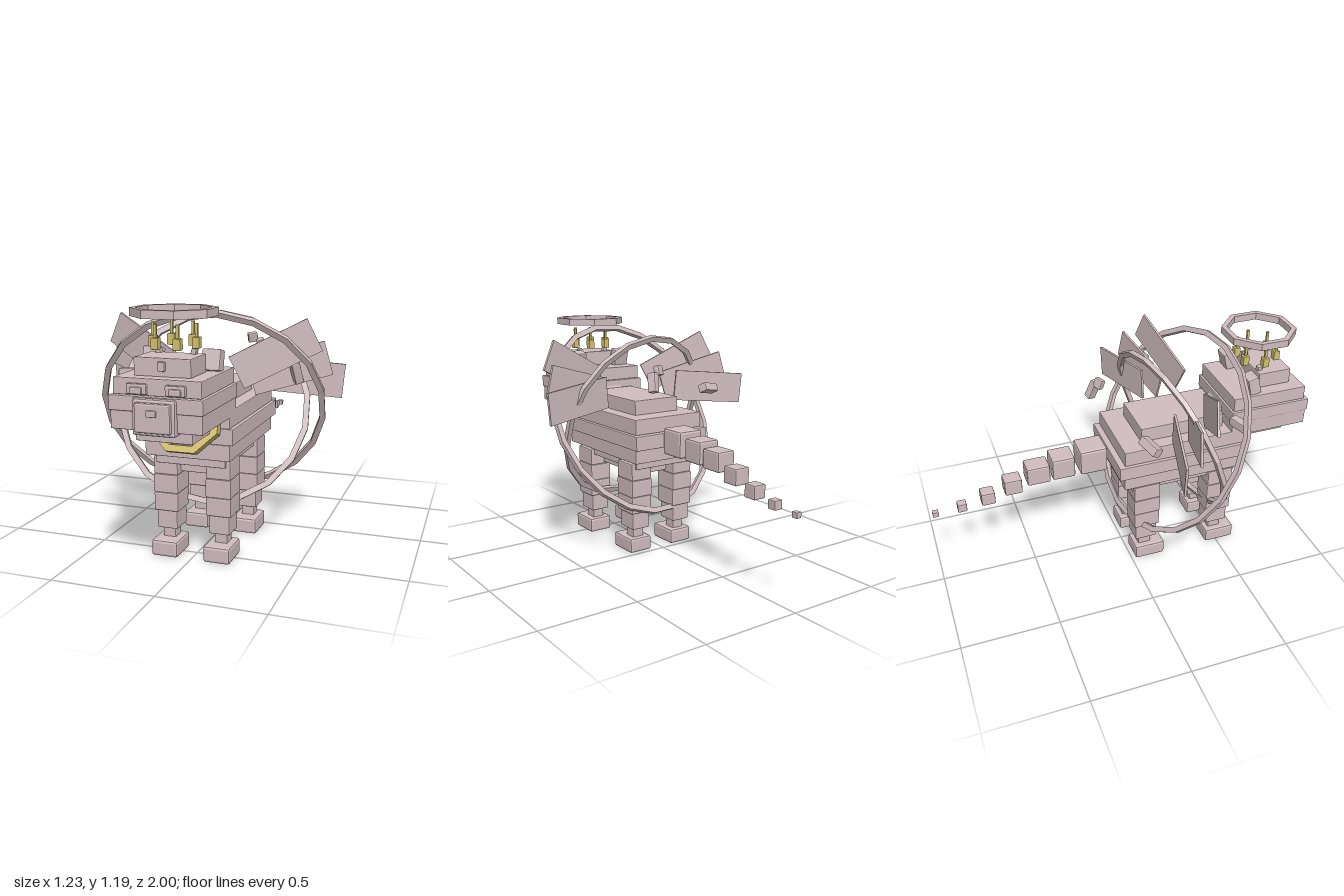
import * as THREE from 'three';
import { RoundedBoxGeometry } from 'three/addons/geometries/RoundedBoxGeometry.js';

const skin = new THREE.MeshStandardMaterial({ name: 'dusty pink', color: 0xd0bdc1, flatShading: true });
const gold = new THREE.MeshStandardMaterial({ name: 'pale gold', color: 0xd4c26c, flatShading: true });

export function createModel() {
  const model = new THREE.Group();

  const add = (name, geometry, x, y, z, material = skin) => {
    const mesh = new THREE.Mesh(geometry, material);
    mesh.name = name;
    mesh.position.set(x, y, z);
    model.add(mesh);
    return mesh;
  };
  // box with chamfered edges, placed by its centre
  const block = (name, w, h, d, x, y, z, material = skin, bevel = 0.006) =>
    add(name, new RoundedBoxGeometry(w, h, d, 1, bevel), x, y, z, material);
  // box centred on x = 0, given by its y and z ranges
  const slab = (name, w, y0, y1, z0, z1, bevel = 0.004) =>
    block(name, w, y1 - y0, z1 - z0, 0, (y0 + y1) / 2, (z0 + z1) / 2, skin, bevel);
  // faceted hoop around the z axis
  const hoop = (sides, outer, inner, depth) => {
    const points = (r) => Array.from({ length: sides }, (_, i) => {
      const a = ((i + 0.5) / sides) * Math.PI * 2;
      return new THREE.Vector2(r * Math.cos(a), r * Math.sin(a));
    });
    const shape = new THREE.Shape(points(outer));
    shape.holes.push(new THREE.Path(points(inner)));
    return new THREE.ExtrudeGeometry(shape, { depth, bevelEnabled: false }).translate(0, 0, -depth / 2);
  };

  // stepped torso
  slab('back', 0.27, 0.73, 0.81, 0.06, 0.51);
  slab('upperTorso', 0.41, 0.655, 0.735, -0.05, 0.62);
  slab('middleTorso', 0.44, 0.58, 0.655, -0.08, 0.62);
  slab('lowerTorso', 0.41, 0.505, 0.58, -0.05, 0.62);
  slab('belly', 0.34, 0.46, 0.505, 0, 0.58);
  slab('keel', 0.22, 0.41, 0.465, 0.08, 0.52);

  // neck and collar
  slab('neck', 0.16, -0.12, 0.12, -0.12, 0.12).position.set(0, 0.73, 0.61);
  model.getObjectByName('neck').rotation.x = 0.6;
  const collar = add('collar', hoop(8, 0.177, 0.143, 0.045), 0, 0.7, 0.625, gold);
  collar.rotation.x = -0.38;

  // legs: stacked blocks given as width, depth, bottom, top, forward shift
  const legBlocks = [
    [0.12, 0.14, 0.4, 0.49, 0], [0.124, 0.145, 0.31, 0.4, 0], [0.122, 0.14, 0.22, 0.31, 0],
    [0.102, 0.118, 0.13, 0.22, 0], [0.064, 0.07, 0.07, 0.13, 0], [0.13, 0.166, 0.003, 0.082, 0.022],
  ];
  for (const side of [-1, 1]) {
    for (const [end, z] of [['front', 0.495], ['hind', 0.08]]) {
      legBlocks.forEach(([w, d, y0, y1, dz], i) => {
        const part = i === 5 ? 'Foot' : 'Leg';
        block(end + part, w, y1 - y0, d, side * 0.13, (y0 + y1) / 2, z + dz, skin, i === 5 ? 0.012 : 0.006);
      });
    }
  }

  // tapering tail: size, depth, y, z
  const tail = [
    [0.138, 0.145, 0.62, -0.168], [0.118, 0.12, 0.606, -0.325], [0.1, 0.12, 0.587, -0.455],
    [0.083, 0.09, 0.54, -0.587], [0.068, 0.07, 0.495, -0.718], [0.045, 0.046, 0.465, -0.851],
    [0.028, 0.03, 0.452, -0.985],
  ];
  for (const [s, d, y, z] of tail) block('tailSegment', s, s, d, 0, y, z, skin, s * 0.09);

  // stepped head
  slab('jaw', 0.26, 0.64, 0.71, 0.62, 0.87);
  slab('cheeks', 0.41, 0.705, 0.787, 0.53, 0.95);
  slab('face', 0.42, 0.785, 0.85, 0.525, 0.957);
  slab('crown', 0.395, 0.85, 0.922, 0.535, 0.935);
  slab('forehead', 0.257, 0.92, 1.0, 0.7, 0.877);
  slab('foreheadStud', 0.032, 0.945, 0.985, 0.86, 0.89);
  slab('muzzle', 0.192, 0.69, 0.845, 0.9, 0.974, 0.01);
  slab('muzzleTip', 0.16, 0.705, 0.83, 0.95, 0.99, 0.008);
  slab('nose', 0.043, 0.775, 0.803, 0.97, 1.0);
  for (const side of [-1, 1]) {
    block('brow', 0.09, 0.045, 0.03, side * 0.086, 0.878, 0.935);
    block('eye', 0.054, 0.03, 0.03, side * 0.086, 0.872, 0.943);
    const ear = block('ear', 0.085, 0.095, 0.06, side * 0.14, 0.965, 0.65);
    ear.rotation.x = -0.25;
    const horn = block('innerEar', 0.025, 0.09, 0.03, side * 0.075, 0.98, 0.72);
    horn.rotation.z = -side * 0.25;
  }

  // circle of six gold candles beneath the halo
  for (let i = 0; i < 6; i++) {
    const a = (i / 6) * Math.PI * 2;
    const x = 0.1 * Math.cos(a), z = 0.738 + 0.1 * Math.sin(a);
    block('candle', 0.034, 0.05, 0.034, x, 1.051, z, gold, 0.004);
    add('candleWick', new THREE.BoxGeometry(0.012, 0.06, 0.012), x, 1.103, z, gold);
  }
  const halo = add('halo', hoop(8, 0.189, 0.162, 0.036), 0, 1.179, 0.74);
  halo.rotation.x = Math.PI / 2;

  // two tilted orbit hoops, each turned towards its normal
  const orbit = (name, radius, sides, y, z, normal) => {
    const ring = add(name, hoop(sides, radius + 0.014, radius - 0.014, 0.024), 0, y, z);
    ring.quaternion.setFromUnitVectors(new THREE.Vector3(0, 0, 1), normal.normalize());
  };
  orbit('largeOrbit', 0.536, 20, 0.682, 0.272, new THREE.Vector3(0.18, -0.47, 0.863));
  orbit('smallOrbit', 0.463, 18, 0.68, 0.275, new THREE.Vector3(0.17, 0.32, 0.93));

  // floating shards: size, position, rotation
  const shards = [
    [[0.11, 0.045, 0.045], [-0.325, 0.862, 0.505], [0, 0.3, 0]],
    [[0.12, 0.045, 0.05], [-0.325, 0.84, 0.035], [0.5, 0.35, 0]],
    [[0.04, 0.1, 0.045], [0.135, 0.925, -0.105], [0.25, 0.4, 0.2]],
    [[0.05, 0.05, 0.03], [0.09, 0.98, -0.085], [0.3, 0.5, 0]],
    [[0.042, 0.11, 0.05], [0.412, 0.868, 0.26], [0.3, 0.6, 0.15]],
  ];
  for (const [size, p, r] of shards) block('shard', ...size, ...p).rotation.set(...r);

  // wings: three flat feathers per side, from root to tip
  const feathers = [
    [[0.16, 0.87, 0.39], [0.505, 1.05, 0.29]],
    [[0.2, 0.83, 0.29], [0.552, 0.932, 0.195]],
    [[0.22, 0.845, 0.2], [0.608, 0.808, 0.1]],
  ];
  for (const side of [-1, 1]) {
    for (const [root, tip] of feathers) {
      const a = new THREE.Vector3(...root), b = new THREE.Vector3(...tip);
      const d = b.clone().sub(a), c = a.clone().add(b).multiplyScalar(0.5);
      const feather = add('wingFeather', new THREE.BoxGeometry(d.length(), 0.165, 0.012), side * c.x, c.y, c.z);
      feather.rotation.set(0, side * Math.atan2(-d.z, d.x), side * Math.atan2(d.y, Math.hypot(d.x, d.z)), 'YZX');
    }
  }
  return model;
}
